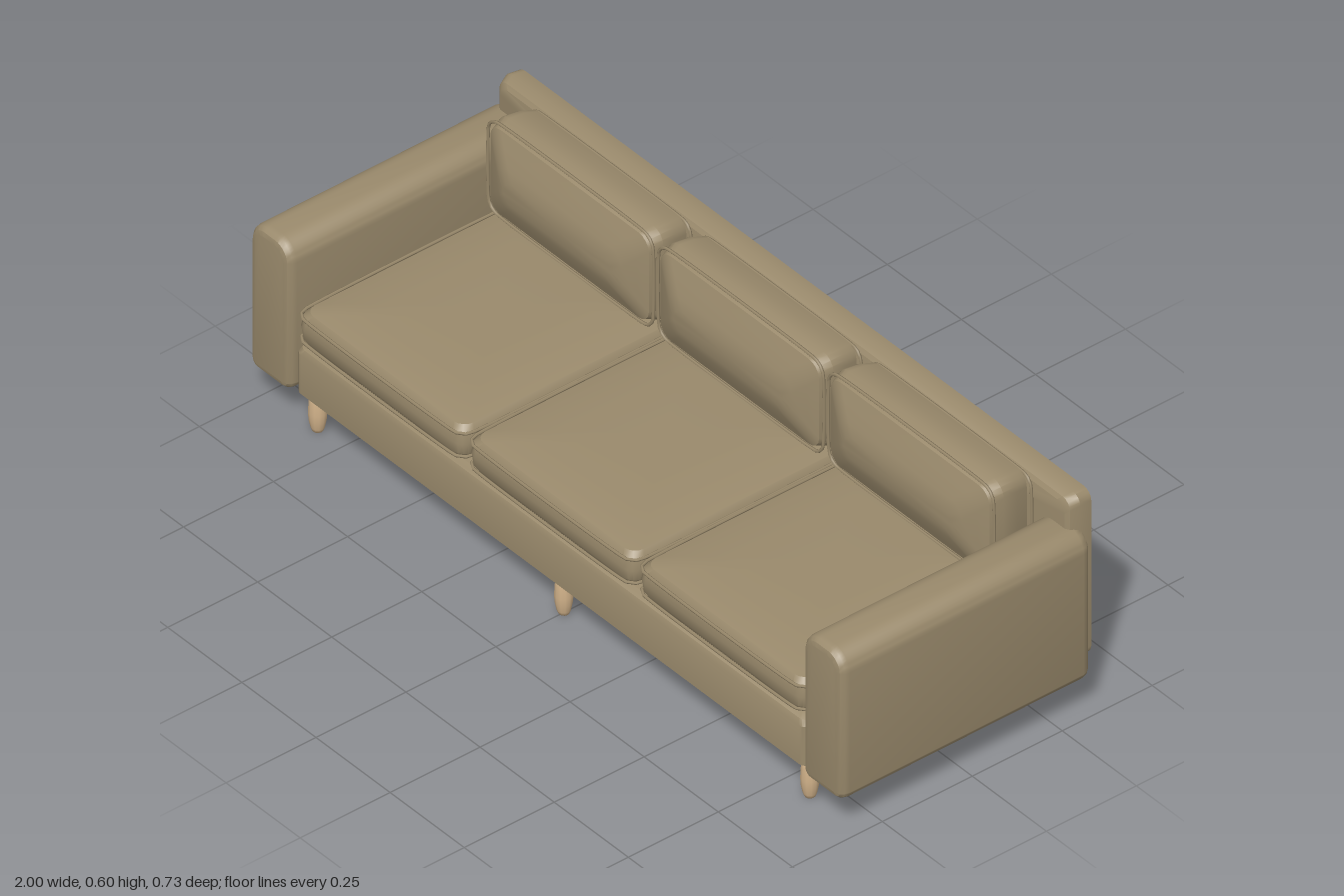
import * as THREE from 'three';
import { toCreasedNormals } from 'three/addons/utils/BufferGeometryUtils.js';

// Points round a rectangle with rounded corners, counter-clockwise
function roundedRect(w, h, r, steps = 4) {
  const pts = [];
  [[1, 1], [-1, 1], [-1, -1], [1, -1]].forEach(([sx, sy], k) => {
    for (let i = 0; i <= steps; i++) {
      const a = (k + i / steps) * Math.PI / 2;
      pts.push(new THREE.Vector2(sx * (w / 2 - r) + r * Math.cos(a), sy * (h / 2 - r) + r * Math.sin(a)));
    }
  });
  return pts;
}

// Padded block: rounded rectangles stacked along z, each ring = [inset, z]
function padded(w, h, r, rings) {
  const pos = [], idx = [];
  let n = 0;
  rings.forEach(([inset, z]) => {
    const loop = roundedRect(w - 2 * inset, h - 2 * inset, r);
    n = loop.length;
    loop.forEach(p => pos.push(p.x, p.y, z));
  });
  const last = (rings.length - 1) * n, c = rings.length * n;
  pos.push(0, 0, rings[0][1], 0, 0, rings[rings.length - 1][1]);
  for (let j = 0; j < n; j++) {
    const k = (j + 1) % n;
    for (let i = 0; i < last; i += n) idx.push(i + j, i + k, i + n + k, i + j, i + n + k, i + n + j);
    idx.push(k, j, c, last + j, last + k, c + 1);
  }
  const g = new THREE.BufferGeometry();
  g.setAttribute('position', new THREE.Float32BufferAttribute(pos, 3));
  g.setIndex(idx);
  return toCreasedNormals(g, 0.55);
}

// Thin cord sewn round a cushion edge
function piping(w, h, r, z) {
  const pts = roundedRect(w, h, r).map(p => new THREE.Vector3(p.x, p.y, z));
  return new THREE.TubeGeometry(new THREE.CatmullRomCurve3(pts, true), 110, 0.004, 5, true);
}

export function createModel() {
  const fabric = new THREE.MeshStandardMaterial({ color: 0x9a8a6c });
  fabric.name = 'fabric';
  const wood = new THREE.MeshStandardMaterial({ color: 0xd0b189 });
  wood.name = 'wood';
  const sofa = new THREE.Group();
  sofa.name = 'sofa';

  const add = (name, geo, mat, x, y, z, parent = sofa) => {
    const m = new THREE.Mesh(geo, mat);
    m.name = name;
    m.position.set(x, y, z);
    parent.add(m);
    return m;
  };

  // Base under the seat
  const baseGeo = padded(1.72, 0.65, 0.02, [[0.01, 0.1], [0, 0.11], [0, 0.215], [0.006, 0.228], [0.02, 0.237]]);
  add('base', baseGeo.rotateX(-Math.PI / 2), fabric, 0, 0, 0.025);

  // Back panel
  add('backPanel', padded(1.94, 0.45, 0.025,
    [[0.012, -0.364], [0.003, -0.358], [0, -0.325], [0.008, -0.303], [0.018, -0.296]]), fabric, 0, 0.355, 0);

  // Arms: soft top, tighter bottom, bevelled ends
  const armShape = new THREE.Shape();
  const hw = 0.068, top = 0.497, bottom = 0.1, rt = 0.05, rb = 0.027;
  armShape.absarc(hw - rt, top - rt, rt, 0, Math.PI / 2);
  armShape.absarc(-hw + rt, top - rt, rt, Math.PI / 2, Math.PI);
  armShape.absarc(-hw + rb, bottom + rb, rb, Math.PI, Math.PI * 1.5);
  armShape.absarc(hw - rb, bottom + rb, rb, Math.PI * 1.5, Math.PI * 2);
  const armGeo = toCreasedNormals(new THREE.ExtrudeGeometry(armShape, {
    depth: 0.65, bevelSize: 0.02, bevelOffset: -0.02, bevelThickness: 0.023, bevelSegments: 3, curveSegments: 5
  }), 0.55);
  for (const s of [1, -1]) add(s > 0 ? 'leftArm' : 'rightArm', armGeo, fabric, s * 0.932, 0, -0.31);

  // Seat and back cushions, each with two rows of piping
  const seatGeo = padded(0.562, 0.645, 0.03, [[0.03, 0.238], [0.012, 0.246], [0.003, 0.262], [0, 0.29],
    [0.003, 0.316], [0.014, 0.331], [0.05, 0.339], [0.14, 0.345]]).rotateX(-Math.PI / 2);
  const seatPipes = [0.258, 0.32].map(y => piping(0.562, 0.645, 0.03, y).rotateX(-Math.PI / 2));
  const backGeo = padded(0.555, 0.25, 0.035, [[0.03, -0.296], [0.011, -0.283], [0.003, -0.25], [0, -0.21],
    [0.01, -0.178], [0.035, -0.166], [0.07, -0.15], [0.095, -0.142]]);
  const backPipes = [piping(0.556, 0.25, 0.035, -0.181), piping(0.54, 0.215, 0.03, -0.292)];
  for (const x of [-0.574, 0, 0.574]) {
    const seat = new THREE.Group();
    seat.name = 'seatCushion';
    sofa.add(seat);
    add('seatPad', seatGeo, fabric, x, 0, 0.03, seat);
    seatPipes.forEach(g => add('seatPiping', g, fabric, x, 0, 0.03, seat));
    const back = new THREE.Group();
    back.name = 'backCushion';
    sofa.add(back);
    add('backPad', backGeo, fabric, x, 0.471, 0, back);
    backPipes.forEach((g, i) => add('backPiping', g, fabric, x, i ? 0.465 : 0.471, 0, back));
  }

  // Turned legs
  const legGeo = new THREE.LatheGeometry([[0, 0], [0.012, 0], [0.016, 0.01], [0.02, 0.03], [0.0215, 0.05],
    [0.02, 0.08], [0.016, 0.102], [0, 0.104]].map(p => new THREE.Vector2(...p)), 12);
  for (const x of [-0.83, 0, 0.83]) for (const z of [0.311, -0.3]) add('leg', legGeo, wood, x, 0, z);

  return sofa;
}
